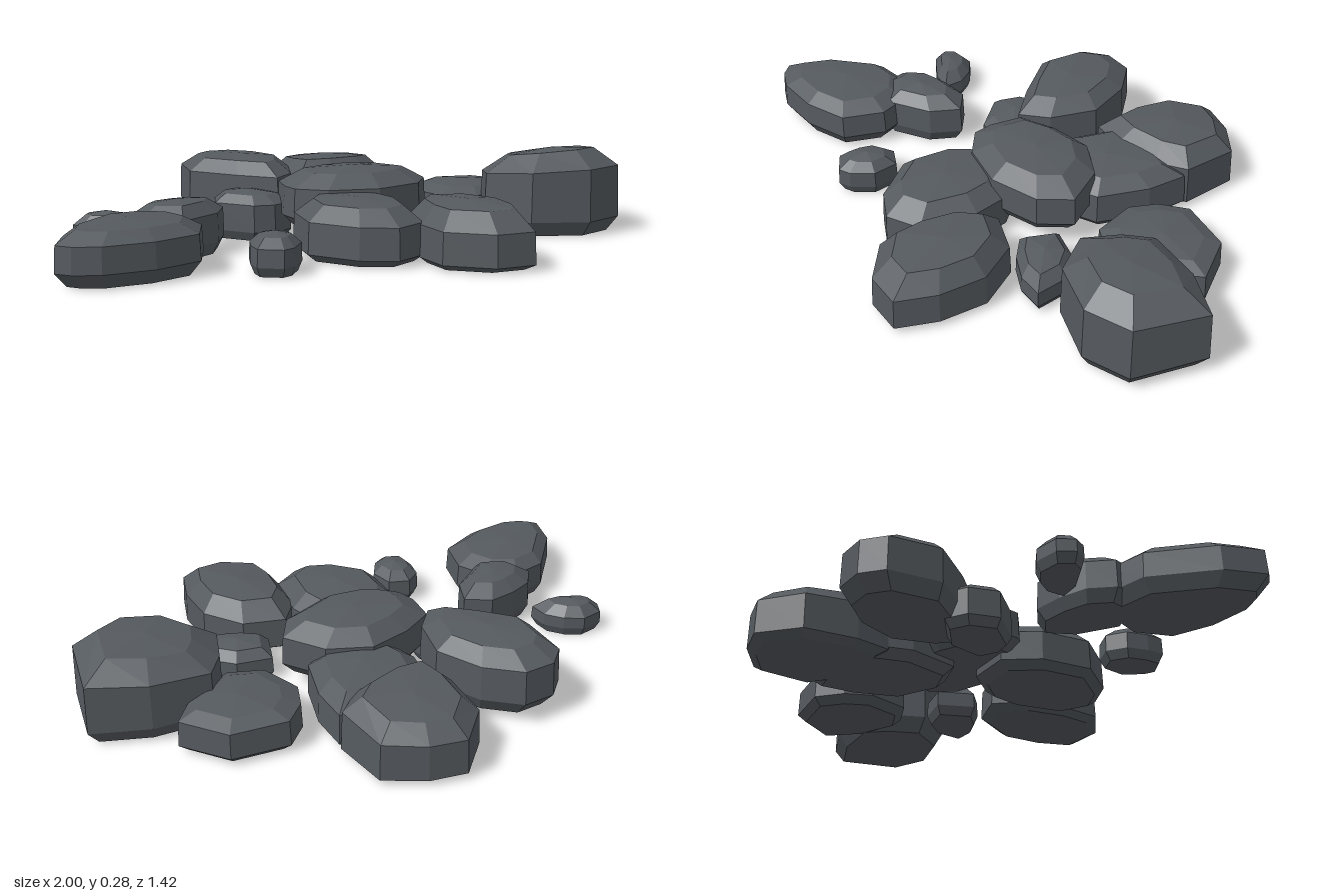
import * as THREE from 'three';

const stone = new THREE.MeshStandardMaterial({ color: 0x555a5f });
stone.name = 'slate grey';
stone.flatShading = true;

// One faceted rock lofted through rings of a plan outline.
// outline: [x, z] in hundredths, clockwise from above
// base / low / high / top: heights of underside, belly, brow and crown
function rock(name, outline, { base = 0, low, high, top, cap = 0.68, foot = 0.84, tilt = [0, 0] }) {
  const n = outline.length;
  const pts = outline.map(([x, z]) => [x / 100, z / 100]);
  const mid = (k) => (Math.min(...pts.map((p) => p[k])) + Math.max(...pts.map((p) => p[k]))) / 2;
  const cx = mid(0), cz = mid(1);
  const ring = (scale, y, lean) => pts.map(([x, z]) => {
    const dx = (x - cx) * scale, dz = (z - cz) * scale;
    return [dx, y + lean * (tilt[0] * dx + tilt[1] * dz), dz];
  });
  const rings = [
    ring(0, base, 0), ring(foot, base, 0), ring(1, low, 0),
    ring(0.98, high, 0.6), ring(cap, top - 0.012, 1), ring(0, top, 1),
  ];
  const verts = [];
  for (let r = 0; r < rings.length - 1; r++) {
    for (let i = 0; i < n; i++) {
      const j = (i + 1) % n;
      const a = rings[r][i], b = rings[r][j], c = rings[r + 1][j], d = rings[r + 1][i];
      if (r < rings.length - 2) verts.push(...a, ...d, ...c);
      if (r > 0) verts.push(...a, ...c, ...b);
    }
  }
  const geo = new THREE.BufferGeometry();
  geo.setAttribute('position', new THREE.Float32BufferAttribute(verts, 3));
  geo.computeVertexNormals();
  const mesh = new THREE.Mesh(geo, stone);
  mesh.name = name;
  mesh.position.set(cx, 0, cz);
  return mesh;
}

export function createModel() {
  const group = new THREE.Group();
  group.name = 'rockPile';
  const add = (...args) => group.add(rock(...args));

  // Left side
  add('tallRockLeft',
    [[50, 14], [55, 2], [62, -6], [82, -4], [100, 4], [94, 28], [79, 34], [60, 28]],
    { low: 0.05, high: 0.21, top: 0.28, cap: 0.62, tilt: [0.05, 0.12] });
  add('backRockLeft',
    [[37, -15], [41, -24], [49, -31], [68, -28], [78, -13], [68, -2], [52, 5], [41, 0]],
    { low: 0.025, high: 0.11, top: 0.145 });
  add('pebbleLeft',
    [[28, 21], [33, 9], [45, 12], [52, 20], [53, 31], [44, 31], [35, 27]],
    { low: 0.03, high: 0.08, top: 0.125 });

  // Right side
  add('longRockRight',
    [[-100, 38], [-95, 25], [-79, 9], [-66, 7], [-56, 13], [-52, 24], [-57, 38], [-72, 44], [-88, 45], [-96, 42]],
    { low: 0.045, high: 0.125, top: 0.17, cap: 0.72 });
  add('middleRockRight',
    [[-71, 6], [-65, -1], [-56, -4], [-46, -5], [-38, 1], [-43, 11], [-57, 20], [-69, 14]],
    { low: 0.04, high: 0.13, top: 0.18, cap: 0.6 });
  add('pebbleBackRight',
    [[-83, -18], [-80, -23], [-72, -24], [-66, -20], [-62, -14], [-62, -7], [-70, -8], [-81, -14]],
    { low: 0.03, high: 0.07, top: 0.115, cap: 0.6 });
  add('pebbleFrontRight',
    [[-43, 41], [-41, 34], [-35, 30], [-28, 33], [-27, 42], [-32, 49], [-36, 51], [-43, 47]],
    { low: 0.03, high: 0.085, top: 0.125, cap: 0.6 });

  // Back
  add('backRockRight',
    [[-39, -34], [-37, -52], [-30, -58], [-19, -58], [-9, -48], [-3, -32], [-8, -16], [-16, -8], [-27, -19]],
    { base: 0.03, low: 0.08, high: 0.195, top: 0.25 });
  add('smallRockRight',
    [[-37, -12], [-34, -22], [-27, -26], [-16, -18], [-13, -4], [-20, 0], [-27, -1]],
    { low: 0.03, high: 0.12, top: 0.16 });
  add('backRock',
    [[-2, -42], [0, -60], [12, -71], [24, -68], [36, -60], [37, -40], [28, -33], [12, -29], [0, -30]],
    { low: 0.02, high: 0.145, top: 0.208, cap: 0.7, tilt: [0, 0.08] });
  add('buriedBackRock',
    [[-2, -22], [2, -36], [20, -42], [37, -39], [36, -25], [30, -8], [14, 0], [2, -4]],
    { low: 0.03, high: 0.13, top: 0.18 });

  // Centre and front
  add('centreRock',
    [[-18, 2], [-16, -9], [-4, -15], [11, -18], [25, -11], [33, 3], [26, 13], [9, 19], [-8, 16], [-17, 9]],
    { base: 0.05, low: 0.09, high: 0.185, top: 0.24, cap: 0.66 });
  add('frontRockRight',
    [[-22, 34], [-20, 16], [-12, 5], [4, 6], [13, 16], [15, 28], [11, 47], [0, 53], [-11, 48]],
    { low: 0.025, high: 0.125, top: 0.185 });
  add('frontRockLeft',
    [[9, 48], [12, 32], [20, 23], [34, 28], [42, 42], [41, 58], [36, 71], [23, 71], [10, 61]],
    { low: 0.02, high: 0.12, top: 0.19, cap: 0.7 });

  return group;
}
